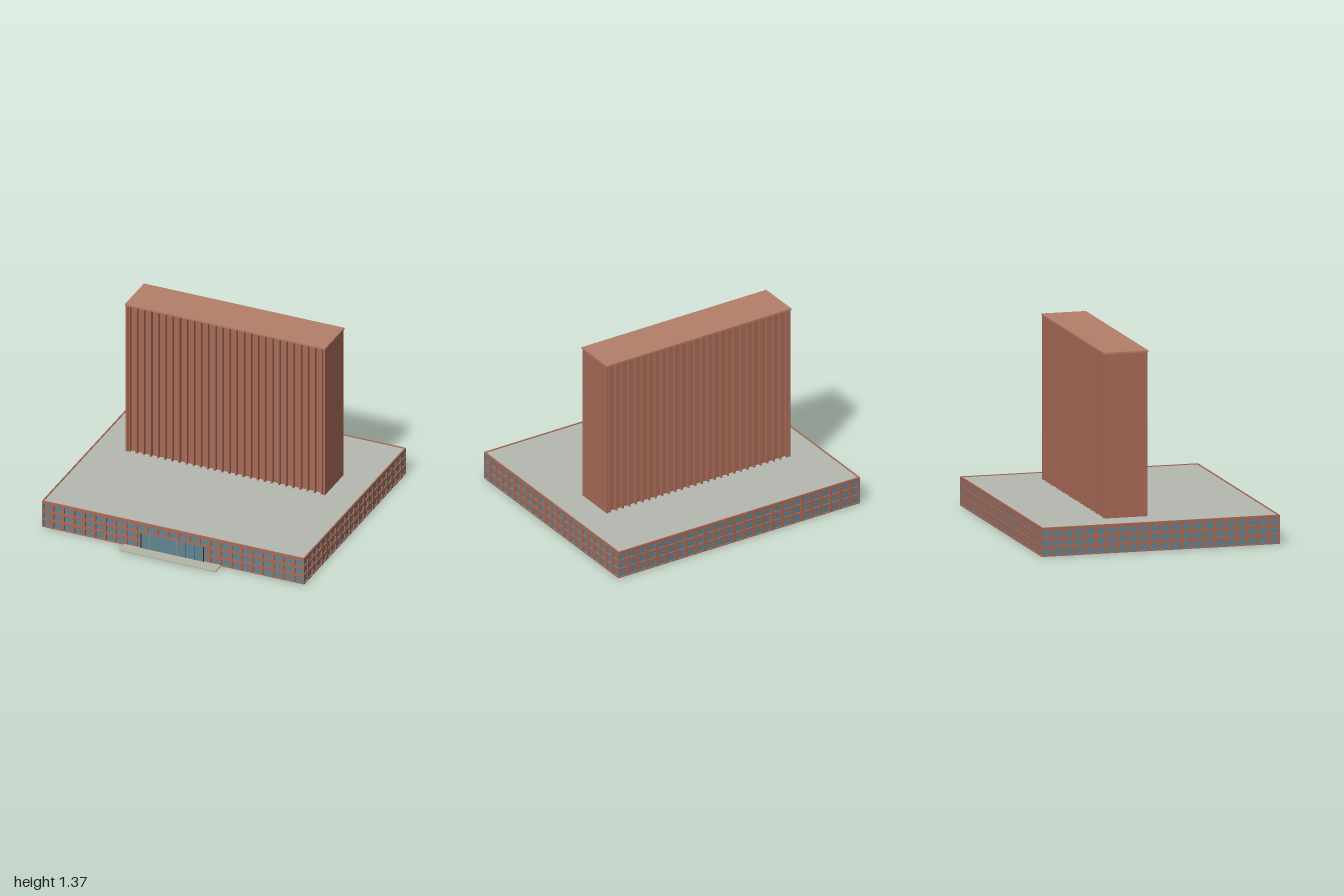
import * as THREE from 'three';

const mat = (color) => new THREE.MeshStandardMaterial({ color, side: THREE.DoubleSide });
const brick = mat(0xa86a57);
const capBrick = mat(0xb47f69);
const glass = mat(0x5f8491);
const roofGrey = mat(0xb4b8b0);
const stone = mat(0xb4b4a6);
const bronze = mat(0xb98a5e);
const dark = mat(0x3a2a28);

// Box given by its two extreme corners
function box(parent, name, material, [x0, y0, z0], [x1, y1, z1]) {
  const mesh = new THREE.Mesh(new THREE.BoxGeometry(x1 - x0, y1 - y0, z1 - z0), material);
  mesh.position.set((x0 + x1) / 2, (y0 + y1) / 2, (z0 + z1) / 2);
  mesh.name = name;
  parent.add(mesh);
  return mesh;
}

const X = 0.997, BACK = -0.905, FRONT = 0.815, ROOF = 0.2;
const FRAME = 0.01; // depth of the window reveals

// Facade facing +z with its outer face at z = 0: pierced brick over a glass sheet
function facade(name, width, columns) {
  const group = new THREE.Group();
  group.name = name;
  const shape = new THREE.Shape();
  shape.moveTo(-width / 2, 0);
  shape.lineTo(width / 2, 0);
  shape.lineTo(width / 2, 0.205);
  shape.lineTo(-width / 2, 0.205);
  const pitch = width / columns;
  for (let c = 0; c < columns; c++) {
    for (let r = 0; r < 3; r++) {
      const x = -width / 2 + (c + 0.13) * pitch, y = 0.007 + r * 0.065;
      const w = pitch * 0.74, h = 0.045;
      const hole = new THREE.Path();
      hole.moveTo(x, y);
      hole.lineTo(x, y + h);
      hole.lineTo(x + w, y + h);
      hole.lineTo(x + w, y);
      shape.holes.push(hole);
    }
  }
  const frame = new THREE.Mesh(
    new THREE.ExtrudeGeometry(shape, { depth: FRAME, bevelEnabled: false }), brick);
  frame.position.z = -FRAME;
  frame.name = 'windowFrame';
  group.add(frame);
  box(group, 'windowGlass', glass,
    [-width / 2 + 0.005, 0, -FRAME - 0.004], [width / 2 - 0.005, 0.196, -FRAME]);
  return group;
}

function createPodium() {
  const podium = new THREE.Group();
  podium.name = 'podium';
  const depth = FRONT - BACK, midZ = (FRONT + BACK) / 2;
  const walls = [
    ['frontFacade', 2 * X, 25, 0, FRONT, 0],
    ['backFacade', 2 * X, 25, 0, BACK, Math.PI],
    ['leftFacade', depth, 22, X, midZ, Math.PI / 2],
    ['rightFacade', depth, 22, -X, midZ, -Math.PI / 2],
  ];
  for (const [name, width, columns, x, z, turn] of walls) {
    const wall = facade(name, width, columns);
    wall.position.set(x, 0, z);
    wall.rotation.y = turn;
    podium.add(wall);
  }
  // Roof deck, leaving the hall below open at the bottom
  box(podium, 'roofDeck', roofGrey,
    [-X + 0.01, ROOF - 0.006, BACK + 0.01], [X - 0.01, ROOF, FRONT - 0.01]);
  return podium;
}

function createEntrance() {
  const entrance = new THREE.Group();
  entrance.name = 'entrance';
  const z = FRONT + 0.006;
  box(entrance, 'entranceGlass', glass, [-0.24, 0, FRONT - 0.004], [0.235, 0.125, z]);
  // Door mullions, with the outer jambs darker
  const count = 7;
  for (let i = 0; i <= count; i++) {
    const x = -0.24 + (0.475 * i) / count;
    const jamb = i === 0 || i === count;
    box(entrance, jamb ? 'doorJamb' : 'doorMullion', jamb ? dark : i % 3 === 1 ? bronze : glass,
      [x - 0.002, 0, FRONT], [x + 0.002, 0.125, z + 0.004]);
  }
  box(entrance, 'entranceStep', stone, [-0.37, 0, FRONT], [0.365, 0.008, 0.908]);
  return entrance;
}

function createTower() {
  const tower = new THREE.Group();
  tower.name = 'tower';
  const x0 = -0.76, x1 = 0.756, z0 = -0.385, z1 = -0.07, top = 1.358, reveal = 0.026;
  box(tower, 'towerCore', brick, [x0, ROOF, z0 + reveal], [x1, top, z1 - reveal]);
  // End walls run the full depth of the tower
  box(tower, 'rightEndWall', brick, [x0, ROOF, z0], [x0 + 0.014, top, z1]);
  box(tower, 'leftEndWall', brick, [x1 - 0.014, ROOF, z0], [x1, top, z1]);
  // Vertical fins on both long sides
  const bays = 28;
  for (let i = 0; i < bays; i++) {
    const x = x0 + 0.027 + (i * (x1 - x0 - 0.054)) / (bays - 1);
    box(tower, 'frontFin', brick, [x - 0.006, ROOF, z1 - reveal], [x + 0.006, top, z1]);
    box(tower, 'backFin', brick, [x - 0.006, ROOF, z0], [x + 0.006, top, z0 + reveal]);
  }
  box(tower, 'towerCap', capBrick, [x0 - 0.004, top, z0 - 0.004], [x1 + 0.004, 1.37, z1 + 0.004]);
  return tower;
}

export function createModel() {
  const model = new THREE.Group();
  model.name = 'officeBuilding';
  model.add(createPodium(), createEntrance(), createTower());
  return model;
}
